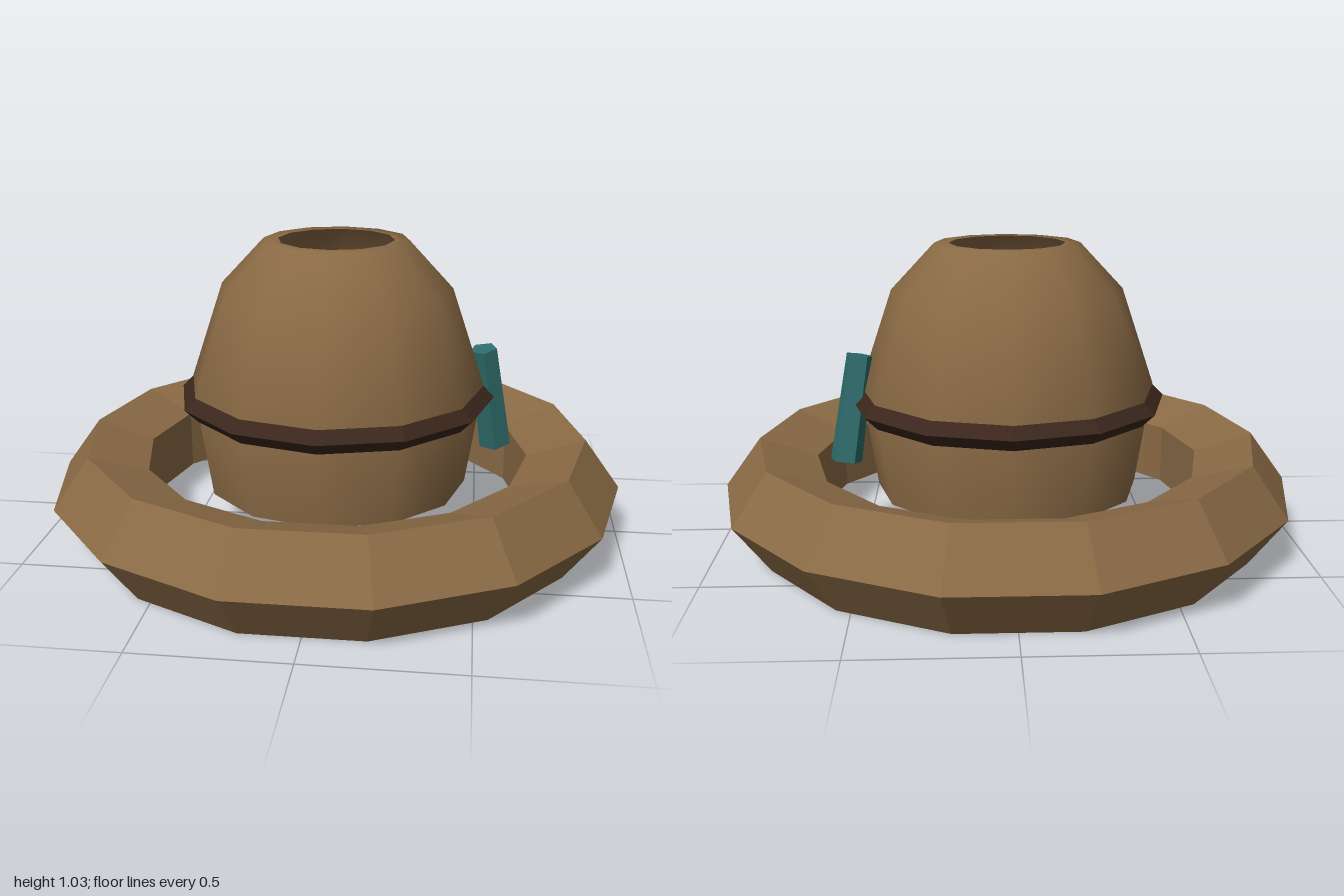
import * as THREE from 'three';

const material = (color, flatShading = true) =>
  new THREE.MeshStandardMaterial({ color, flatShading, side: THREE.DoubleSide });

const BROWN = 0x8a6a45, DARK = 0x3a261c, TEAL = 0x2f6b6b;

export function createModel() {
  const group = new THREE.Group();

  const add = (name, geometry, mat) => {
    const mesh = new THREE.Mesh(geometry, mat);
    mesh.name = name;
    group.add(mesh);
    return mesh;
  };

  // A low-poly ring lying flat at the given height
  const ring = (name, radius, tube, sides, segments, y, color) =>
    add(name, new THREE.TorusGeometry(radius, tube, sides, segments)
      .rotateX(Math.PI / 2).translate(0, y, 0), material(color));

  // Wide rolled brim and narrow band around the crown
  ring('brim', 0.82, 0.18, 5, 14, 0.171, BROWN);
  ring('hatBand', 0.508, 0.045, 4, 12, 0.488, DARK);

  // Smooth hollow crown, with an opening at the top
  const profile = [[0.46, 0.17], [0.515, 0.53], [0.4, 0.87], [0.25, 1.03], [0.2, 1.03]]
    .map(([r, y]) => new THREE.Vector2(r, y));
  add('crown', new THREE.LatheGeometry(profile, 12), material(BROWN, false));

  // Flat floor closing the underside of the crown
  add('crownFloor', new THREE.CircleGeometry(0.46, 12).rotateX(Math.PI / 2).translate(0, 0.17, 0),
    material(BROWN));

  // Feather leaning against the band on the left side
  const bottom = new THREE.Vector3(0.565, 0.285, -0.09);
  const top = new THREE.Vector3(0.51, 0.65, -0.04);
  const axis = top.clone().sub(bottom);
  const feather = add('feather', new THREE.CylinderGeometry(0.049, 0.057, axis.length(), 5),
    material(TEAL));
  feather.position.copy(bottom).add(top).multiplyScalar(0.5);
  feather.quaternion.setFromUnitVectors(new THREE.Vector3(0, 1, 0), axis.normalize());

  return group;
}
